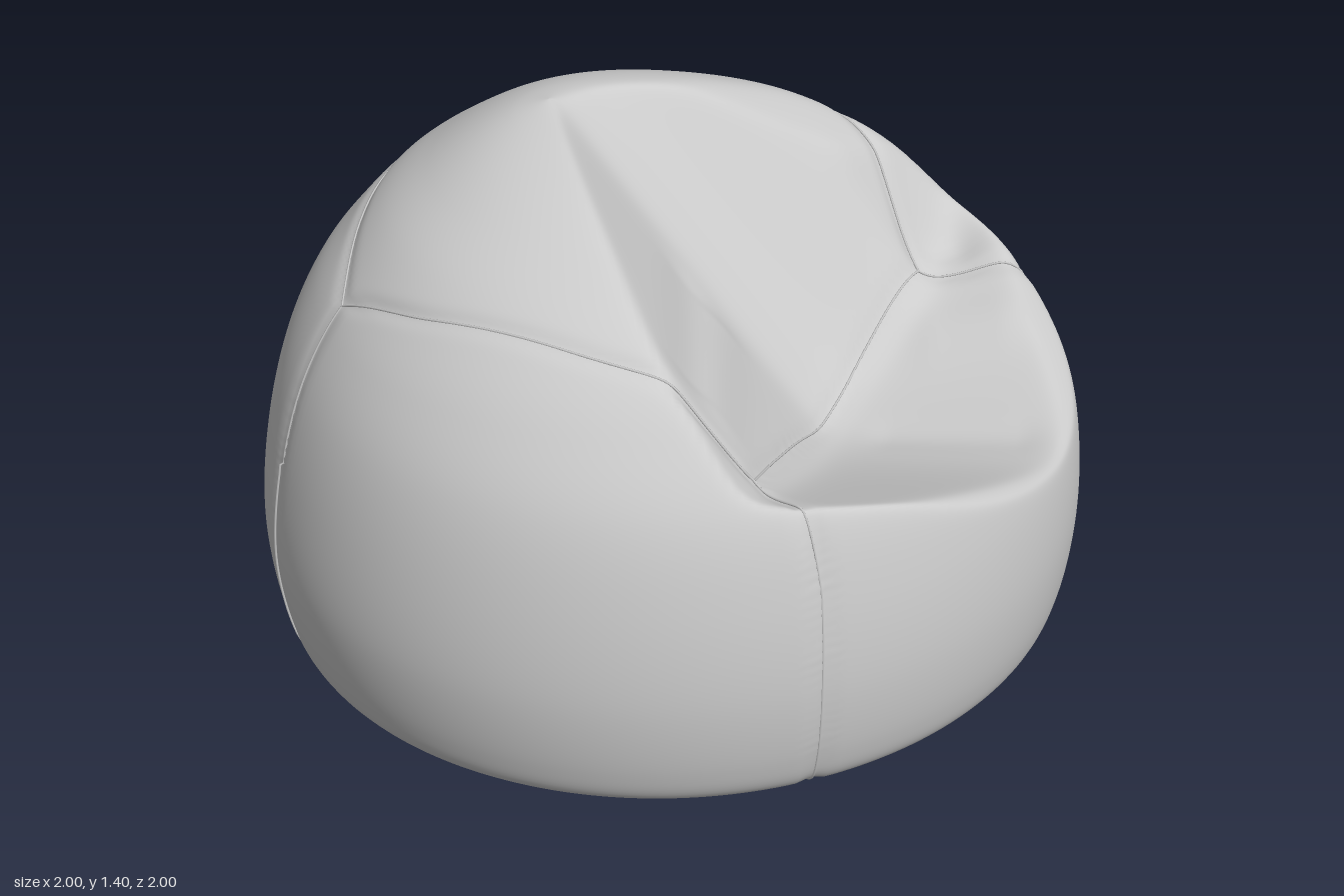
import * as THREE from 'three';

const material = new THREE.MeshStandardMaterial({ color: 0xcccccc });
const thin = new THREE.MeshStandardMaterial({ color: 0xcccccc, side: THREE.DoubleSide });

// Undented shell: (back edge x, height, ring radius); each ring is nearly a circle.
const shell = new THREE.CatmullRomCurve3([
  [-0.88, 0.08, 0.88], [-0.945, 0.12, 0.945], [-0.975, 0.2, 0.975], [-1, 0.4, 0.998], [-0.975, 0.64, 0.975],
  [-0.92, 0.85, 0.918], [-0.85, 1.0, 0.832], [-0.775, 1.1, 0.75], [-0.685, 1.2, 0.63], [-0.58, 1.28, 0.475],
  [-0.485, 1.34, 0.325], [-0.4, 1.38, 0.17], [-0.31, 1.405, 0],
].map(p => new THREE.Vector3(...p)), false, 'centripetal');
shell.arcLengthDivisions = 600;

// The plan is a little longer along one diagonal.
const skew = angle => 1.001 - 0.025 * Math.sin(2 * angle);
const softMin = (a, b, k) => 0.5 * (a + b - Math.sqrt((a - b) ** 2 + k * k));
const softMax = (a, b, k) => -softMin(-a, -b, k);

// Soft folds along segments of the seat, seen from above.
const folds = [
  [0.06, 0.1, 0.2, 0.55, 0.05, -0.015],
  [0.16, 0.12, 0.27, 0.55, 0.05, 0.012],
  [0.26, -0.55, 0.3, -0.68, 0.07, 0.035],
  [0.48, -0.58, 0.56, -0.62, 0.07, -0.03],
  [0.58, -0.36, 0.72, -0.4, 0.09, 0.015],
  [0.55, -0.02, 0.85, -0.04, 0.06, -0.008],
];
function foldHeight(x, z) {
  let h = 0;
  for (const [ax, az, bx, bz, w, amount] of folds) {
    const dx = bx - ax, dz = bz - az;
    const t = THREE.MathUtils.clamp(((x - ax) * dx + (z - az) * dz) / (dx * dx + dz * dz), 0, 1);
    h += amount * Math.exp(-((x - ax - t * dx) ** 2 + (z - az - t * dz) ** 2) / (w * w));
  }
  return h;
}

// Seat pan that dips towards the crease, and V-shaped backrest that opens upwards.
function seatHeight(x, z) {
  const creaseX = 0.37 + 0.13 * THREE.MathUtils.smoothstep(-z, 0.1, 0.5);
  const dip = 0.075 * THREE.MathUtils.clamp((0.95 - x) / 0.55, 0, 1);
  const pan = 0.65 - dip + 0.48 * (Math.sqrt(z * z + 0.04) - 0.2);
  const opening = 0.42 + 0.28 * THREE.MathUtils.clamp(creaseX - x, 0, 0.6);
  const back = 0.6 + 1.23 * (creaseX - x) + opening * (Math.sqrt(z * z + 0.003) - 0.055);
  return softMax(pan, back, 0.06) + foldHeight(x, z);
}

// The shell is cut by a slope from the peak to the front lip, then by the seat.
function press(x, y, z) {
  const slope = 0.66 + 0.68 * (0.95 - x);
  return softMin(softMin(y, slope, 0.03), seatHeight(x, z), 0.025);
}

// Height of the upper surface over a plan position.
function topHeight(x, z) {
  let lo = 0.27, hi = 1;
  for (let i = 0; i < 30; i++) {
    const mid = (lo + hi) / 2, p = shell.getPoint(mid), dx = x - p.x - p.z;
    if (Math.hypot(dx, z) < p.z * skew(Math.atan2(z, dx))) lo = mid; else hi = mid;
  }
  return press(x, shell.getPoint(lo).y, z);
}

// Crumpled underside.
function baseHeight(x, z, rho) {
  const fade = THREE.MathUtils.smoothstep(1 - rho, 0, 0.3);
  const a = Math.abs(Math.sin(5.3 * x + 2.6 * z + 1.2 * Math.sin(4 * z)));
  const b = Math.abs(Math.sin(6.1 * z - 3.2 * x + 1.4 * Math.sin(5 * x + 1)));
  return 0.08 + fade * (0.03 * a + 0.04 * b);
}

// Seams: four up the sides, four round the top panel.
const corners = [[0.38, 0.65], [-0.66, 0.5], [-0.5, -0.66], [0.5, -0.5]];
const sideDirections = [[0.6, 0.8], [-0.8, 0.61], [-0.61, -0.79], [0.79, -0.62]];
const panelMiddles = [
  [[0.2, 0.69], [-0.05, 0.695], [-0.4, 0.63]],
  [[-0.71, 0.25], [-0.72, 0], [-0.65, -0.36]],
  [[-0.3, -0.72], [-0.05, -0.73], [0.27, -0.67]],
  [[0.41, -0.2], [0.37, 0.1], [0.37, 0.4]],
];
function seamPaths() {
  const paths = [];
  corners.forEach((corner, i) => {
    const [dx, dz] = sideDirections[i], side = [];
    const stretch = skew(Math.atan2(dz, dx));
    for (let t = 0.02; t < 0.35; t += 0.01) {
      const p = shell.getPoint(t), r = p.z * stretch;
      const x = p.x + p.z + dx * r, z = dz * r;
      side.push(new THREE.Vector3(x, press(x, p.y, z), z));
    }
    const end = side[side.length - 1];
    for (let k = 1; k <= 30; k++) {
      const x = THREE.MathUtils.lerp(end.x, corner[0], k / 30);
      const z = THREE.MathUtils.lerp(end.z, corner[1], k / 30);
      side.push(new THREE.Vector3(x, topHeight(x, z), z));
    }
    const plan = new THREE.SplineCurve(
      [corner, ...panelMiddles[i], corners[(i + 1) % 4]].map(p => new THREE.Vector2(...p)));
    const panel = plan.getSpacedPoints(60).map(q => new THREE.Vector3(q.x, topHeight(q.x, q.y), q.y));
    paths.push(side, panel);
  });
  return paths;
}

// Bag skin: rings from the middle of the underside, up the sides and over the seat.
function bagGeometry(paths) {
  const columns = 240, baseRows = 40, shellRows = 160, rows = baseRows + shellRows;
  const positions = [], index = [];
  for (let r = 0; r <= rows; r++) {
    const inBase = r < baseRows, rho = r / baseRows;
    const p = shell.getPointAt(inBase ? 0 : (r - baseRows) / shellRows);
    for (let c = 0; c < columns; c++) {
      const angle = c / columns * Math.PI * 2;
      const radius = p.z * skew(angle) * (inBase ? rho : 1);
      const x = p.x + p.z + radius * Math.cos(angle), z = radius * Math.sin(angle);
      positions.push(x, inBase ? baseHeight(x, z, rho) : press(x, p.y, z), z);
      if (r === rows) continue;
      const a = r * columns + c, b = r * columns + (c + 1) % columns;
      index.push(a, a + columns, b, b, a + columns, b + columns);
    }
  }
  const geometry = new THREE.BufferGeometry();
  geometry.setAttribute('position', new THREE.Float32BufferAttribute(positions, 3));
  geometry.setIndex(index);
  geometry.computeVertexNormals();

  // Pull the skin in along the seams.
  const pos = geometry.attributes.position, normal = geometry.attributes.normal;
  const seamPoints = paths.flat(), v = new THREE.Vector3(), n = new THREE.Vector3();
  for (let i = baseRows * columns; i < pos.count; i++) {
    v.fromBufferAttribute(pos, i);
    let d2 = 1;
    for (const s of seamPoints) d2 = Math.min(d2, s.distanceToSquared(v));
    if (d2 > 0.004) continue;
    v.addScaledVector(n.fromBufferAttribute(normal, i), -0.008 * Math.exp(-d2 / 0.0005));
    pos.setXYZ(i, v.x, v.y, v.z);
  }
  geometry.computeVertexNormals();
  return geometry;
}

export function createModel() {
  const group = new THREE.Group();
  group.name = 'beanBag';
  const add = (geometry, mat, name) => {
    const mesh = new THREE.Mesh(geometry, mat);
    mesh.name = name;
    group.add(mesh);
    return mesh;
  };
  const paths = seamPaths();
  add(bagGeometry(paths), material, 'bag');

  // Stitch lines sunk in the seam grooves.
  const middle = new THREE.Vector3(0, 0.4, 0);
  paths.forEach((path, i) => {
    const sunk = path.map(p => p.clone().lerp(middle, 0.006));
    const curve = new THREE.CatmullRomCurve3(sunk);
    add(new THREE.TubeGeometry(curve, 90, 0.003, 5), material, i % 2 ? 'panelSeam' : 'sideSeam');
  });

  // Flat tag hanging from the underside.
  add(new THREE.PlaneGeometry(0.09, 0.11), thin, 'tag').position.set(0.055, 0.055, 0);
  return group;
}
